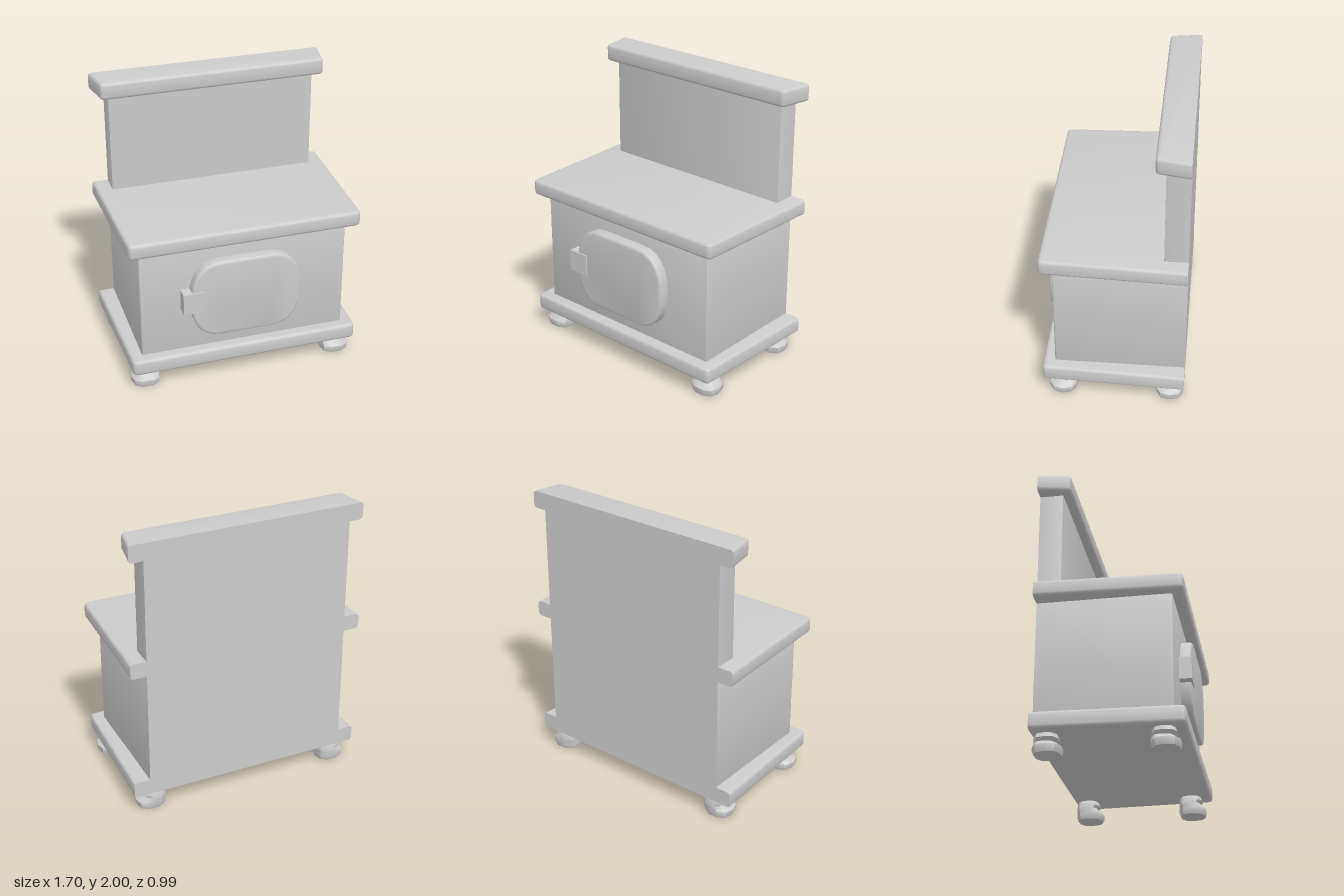
import * as THREE from 'three';
import { toCreasedNormals } from 'three/addons/utils/BufferGeometryUtils.js';

const grey = new THREE.MeshStandardMaterial({ color: 0xcccccc });
const BACK = -0.49;

function part(name, geometry, crease = 0.6) {
  const mesh = new THREE.Mesh(toCreasedNormals(geometry, crease), grey);
  mesh.name = name;
  return mesh;
}

// Upright block: plan tapers from back to front, edges rounded, back cut flat
function block(name, backHalf, frontHalf, y0, y1, front, bevel, corner) {
  const outer = BACK - 0.05;
  const plan = new THREE.Shape();
  plan.moveTo(-backHalf, -outer);
  plan.lineTo(-frontHalf, -front + corner);
  plan.quadraticCurveTo(-frontHalf, -front, -frontHalf + corner, -front);
  plan.lineTo(frontHalf - corner, -front);
  plan.quadraticCurveTo(frontHalf, -front, frontHalf, -front + corner);
  plan.lineTo(backHalf, -outer);
  const geo = new THREE.ExtrudeGeometry(plan, {
    depth: y1 - y0 - 2 * bevel, bevelEnabled: bevel > 0, bevelSize: bevel, bevelOffset: -bevel,
    bevelThickness: bevel, bevelSegments: 3, curveSegments: 4,
  });
  geo.rotateX(-Math.PI / 2).translate(0, y0 + bevel, 0);
  const p = geo.attributes.position;
  for (let i = 0; i < p.count; i++) p.setZ(i, Math.max(BACK, p.getZ(i)));
  return part(name, geo);
}

// Rounded oven door with a softly domed face
function door() {
  const w = 0.39, h = 0.29, a = 0.18, b = 0.08;
  const s = new THREE.Shape();
  s.moveTo(w, -b);
  s.lineTo(w, b);
  s.bezierCurveTo(w - 0.02, 0.2, 0.31, h, a, h);
  s.lineTo(-a, h);
  s.bezierCurveTo(-0.31, h, -w + 0.02, 0.2, -w, b);
  s.lineTo(-w, -b);
  s.bezierCurveTo(-w + 0.02, -0.2, -0.31, -h, -a, -h);
  s.lineTo(a, -h);
  s.bezierCurveTo(0.31, -h, w - 0.02, -0.2, w, -b);
  const geo = new THREE.ExtrudeGeometry(s, {
    depth: 0.08, bevelSize: 0.02, bevelOffset: -0.02, bevelThickness: 0.015,
    bevelSegments: 3, curveSegments: 6,
  });
  geo.translate(0, 0.65, 0.39);
  return part('ovenDoor', geo, 0.8);
}

// Claw foot: broad toe, pinched neck and knob, lofted from oval rings
function foot() {
  // [y, centre x, centre z, radius x, radius z]
  const rings = [
    [0, 0, 0, 0.095, 0.088], [0.025, 0, 0, 0.105, 0.097], [0.05, 0, 0, 0.104, 0.096],
    [0.068, -0.015, -0.012, 0.09, 0.083], [0.085, -0.025, -0.02, 0.08, 0.075],
    [0.105, -0.012, -0.01, 0.09, 0.083], [0.122, -0.015, -0.012, 0.085, 0.078],
    [0.145, -0.01, -0.01, 0.075, 0.07],
  ];
  const n = 10, pos = [], idx = [];
  for (const [y, cx, cz, rx, rz] of rings) {
    for (let i = 0; i < n; i++) {
      const t = (i / n) * Math.PI * 2, c = Math.cos(t), s = Math.sin(t);
      const square = (v) => Math.sign(v) * Math.pow(Math.abs(v), 0.8);
      pos.push(cx + rx * square(c), y, cz + rz * square(s));
    }
  }
  for (let r = 0; r < rings.length - 1; r++) {
    for (let i = 0; i < n; i++) {
      const a = r * n + i, b = r * n + (i + 1) % n;
      idx.push(a, a + n, b, b, a + n, b + n);
    }
  }
  const top = (rings.length - 1) * n;
  for (let i = 1; i < n - 1; i++) {
    idx.push(0, i, i + 1);
    idx.push(top, top + i + 1, top + i);
  }
  const geo = new THREE.BufferGeometry();
  geo.setAttribute('position', new THREE.Float32BufferAttribute(pos, 3));
  geo.setIndex(idx);
  return part('foot', geo, 0.7);
}

export function createModel() {
  const stove = new THREE.Group();
  stove.name = 'stove';

  // Cabinet and upright back panel
  stove.add(block('cabinet', 0.735, 0.735, 0.2, 1.12, 0.41, 0.01, 0.015));
  stove.add(block('backPanel', 0.735, 0.735, 1.12, 1.93, -0.33, 0, 0.002));

  // Three projecting slabs
  stove.add(block('baseSlab', 0.85, 0.815, 0.135, 0.25, 0.49, 0.022, 0.035));
  stove.add(block('cooktop', 0.85, 0.815, 1.06, 1.17, 0.49, 0.022, 0.035));
  stove.add(block('topShelf', 0.835, 0.8, 1.88, 2, -0.265, 0.022, 0.035));

  // Door and its latch
  stove.add(door());
  const latch = part('doorLatch', new THREE.BoxGeometry(0.155, 0.155, 0.09));
  latch.position.set(-0.375, 0.655, 0.45);
  stove.add(latch);

  // Four feet, toes turned outward
  for (const side of [-1, 1]) {
    for (const z of [0.355, -0.392]) {
      const f = foot();
      f.position.set(side * 0.705, 0, z);
      f.scale.x = side;
      f.name = (side > 0 ? 'left' : 'right') + (z > 0 ? 'FrontFoot' : 'BackFoot');
      stove.add(f);
    }
  }
  return stove;
}
